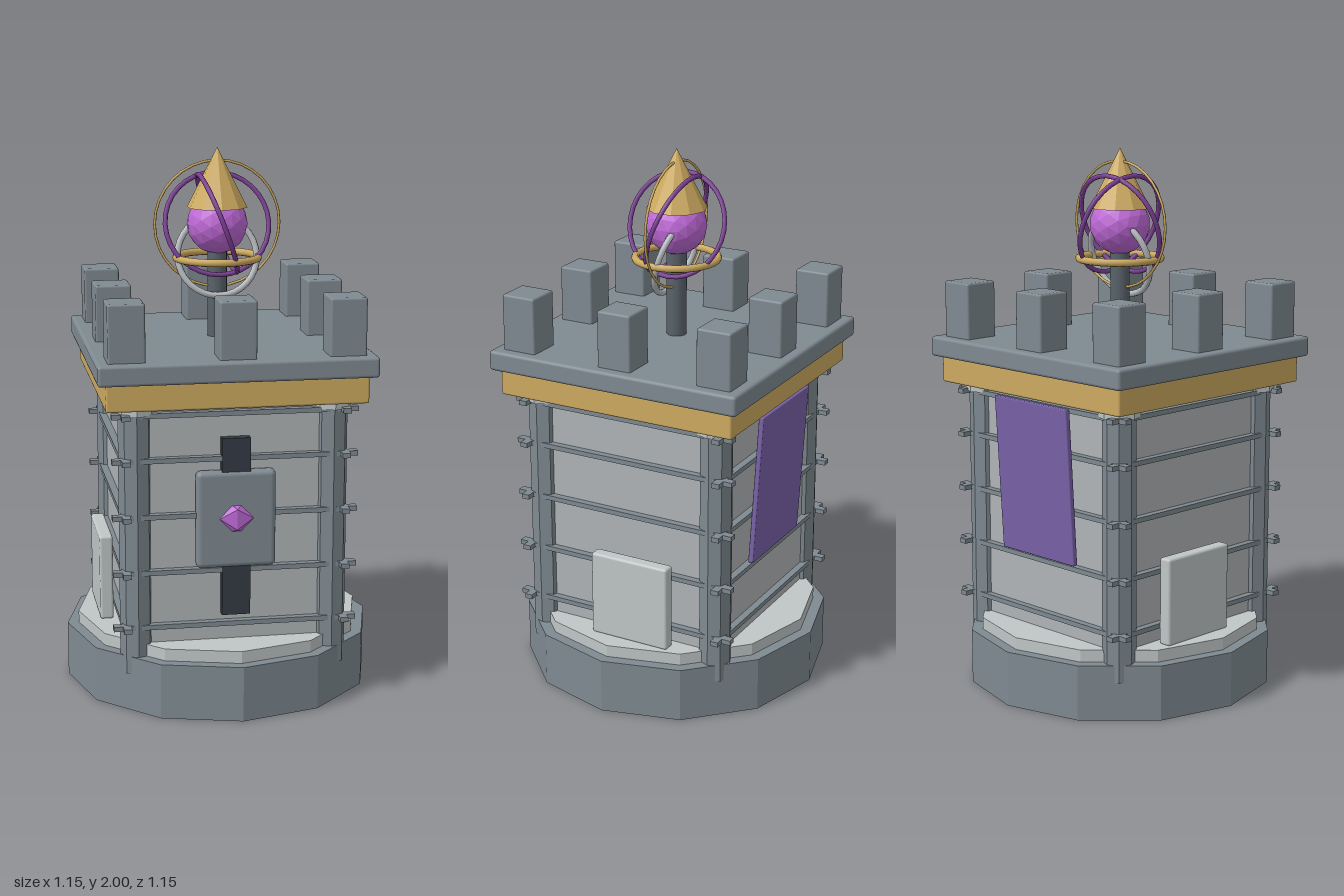
import * as THREE from 'three';
import { RoundedBoxGeometry } from 'three/addons/geometries/RoundedBoxGeometry.js';

const paint = (color, flat = false) => new THREE.MeshStandardMaterial({ color, flatShading: flat });
const stone = paint(0x7f8a91), stoneFlat = paint(0x7f8a91, true);
const wall = paint(0xb0b4b6), pale = paint(0xc0c6c6), paleFlat = paint(0xc0c6c6, true);
const gold = paint(0xcdaa60), goldFlat = paint(0xcdaa60, true);
const dark = paint(0x343a44), post = paint(0x59636b), cloth = paint(0x7a62a8);
const violet = paint(0x7c3f95), crystal = paint(0xc06ad8, true), silver = paint(0xb8bcc0);

export function createModel() {
  const model = new THREE.Group();
  const add = (name, geometry, material, x, y, z) => {
    const mesh = new THREE.Mesh(geometry, material);
    mesh.name = name;
    mesh.position.set(x, y, z);
    model.add(mesh);
    return mesh;
  };
  const block = (name, w, h, d, material, x, y, z, r = 0.008) =>
    add(name, new RoundedBoxGeometry(w, h, d, 2, r), material, x, y, z);
  const drum = (name, r, h, sides, material, x, y, z) =>
    add(name, new THREE.CylinderGeometry(r, r, h, sides), material, x, y, z);
  const ring = (name, r, tube, material, y, rx, ry = 0, rz = 0) =>
    add(name, new THREE.TorusGeometry(r, tube, 8, 32), material, 0, y, 0).rotation.set(rx, ry, rz);

  // Twelve-sided foundation and step
  drum('foundation', 0.577, 0.205, 12, stoneFlat, 0, 0.1025, 0);
  drum('foundationStep', 0.535, 0.06, 12, paleFlat, 0, 0.22, 0);

  // Tower body
  add('towerBody', new THREE.BoxGeometry(0.77, 0.94, 0.77), wall, 0, 0.67, 0);

  // Corner pillars with capitals
  for (const x of [-0.356, 0.356]) for (const z of [-0.356, 0.356]) {
    drum('cornerPillar', 0.061, 0.97, 8, stoneFlat, x, 0.625, z);
    drum('pillarCapital', 0.075, 0.035, 8, paleFlat, x, 1.118, z);
  }

  // Horizontal rails crossing at the corners
  for (const y of [0.315, 0.52, 0.728, 0.935, 1.1]) for (const s of [-1, 1]) {
    add('frontBackRail', new THREE.BoxGeometry(0.89, 0.018, 0.03), stone, 0, y, s * 0.397);
    add('sideRail', new THREE.BoxGeometry(0.03, 0.018, 0.89), stone, s * 0.397, y, 0);
  }

  // Front window slit, plaque and gem
  add('windowSlit', new THREE.BoxGeometry(0.104, 0.66, 0.05), dark, 0, 0.68, 0.392);
  block('plaque', 0.29, 0.36, 0.05, stone, 0, 0.71, 0.4, 0.02);
  add('plaqueGem', new THREE.IcosahedronGeometry(0.072, 0), crystal, 0, 0.715, 0.4).scale.z = 0.7;

  // Side panels
  for (const s of [-1, 1])
    block('sidePanel', 0.05, 0.325, 0.315, pale, s * 0.437, 0.41, -0.052, 0.01);

  // Banner leaning out at the top of the back wall
  const banner = block('backBanner', 0.38, 0.58, 0.02, cloth, 0, 0.825, -0.43, 0.004);
  banner.rotation.x = -0.06;

  // Cornice, roof slab and battlements
  block('cornice', 0.94, 0.1, 0.94, gold, 0, 1.18, 0);
  block('roofSlab', 1, 0.075, 1, stone, 0, 1.265, 0, 0.012);
  for (const x of [-0.394, 0, 0.394]) for (const z of [-0.394, 0, 0.394])
    if (x || z) block('merlon', 0.133, 0.22, 0.133, stone, x, 1.4, z);

  // Finial: post, crystal orb and gold spire
  drum('finialPost', 0.037, 0.36, 12, post, 0, 1.46, 0);
  add('crystalOrb', new THREE.IcosahedronGeometry(0.112, 2), crystal, 0, 1.72, 0);
  add('goldSpire', new THREE.ConeGeometry(0.112, 0.22, 10), goldFlat, 0, 1.89, 0);

  // Rings around the orb
  ring('outerGoldRing', 0.232, 0.005, gold, 1.72, 0);
  ring('levelGoldRing', 0.152, 0.014, gold, 1.595, Math.PI / 2);
  ring('silverRing', 0.148, 0.012, silver, 1.6, -0.3);
  ring('frontVioletRing', 0.193, 0.009, violet, 1.72, -0.36);
  ring('sideVioletRing', 0.193, 0.009, violet, 1.72, 0, Math.PI / 2, 0);
  const sideRing = model.getObjectByName('sideVioletRing');
  sideRing.rotation.set(0, Math.PI / 2, 0.36, 'ZYX');

  return model;
}
